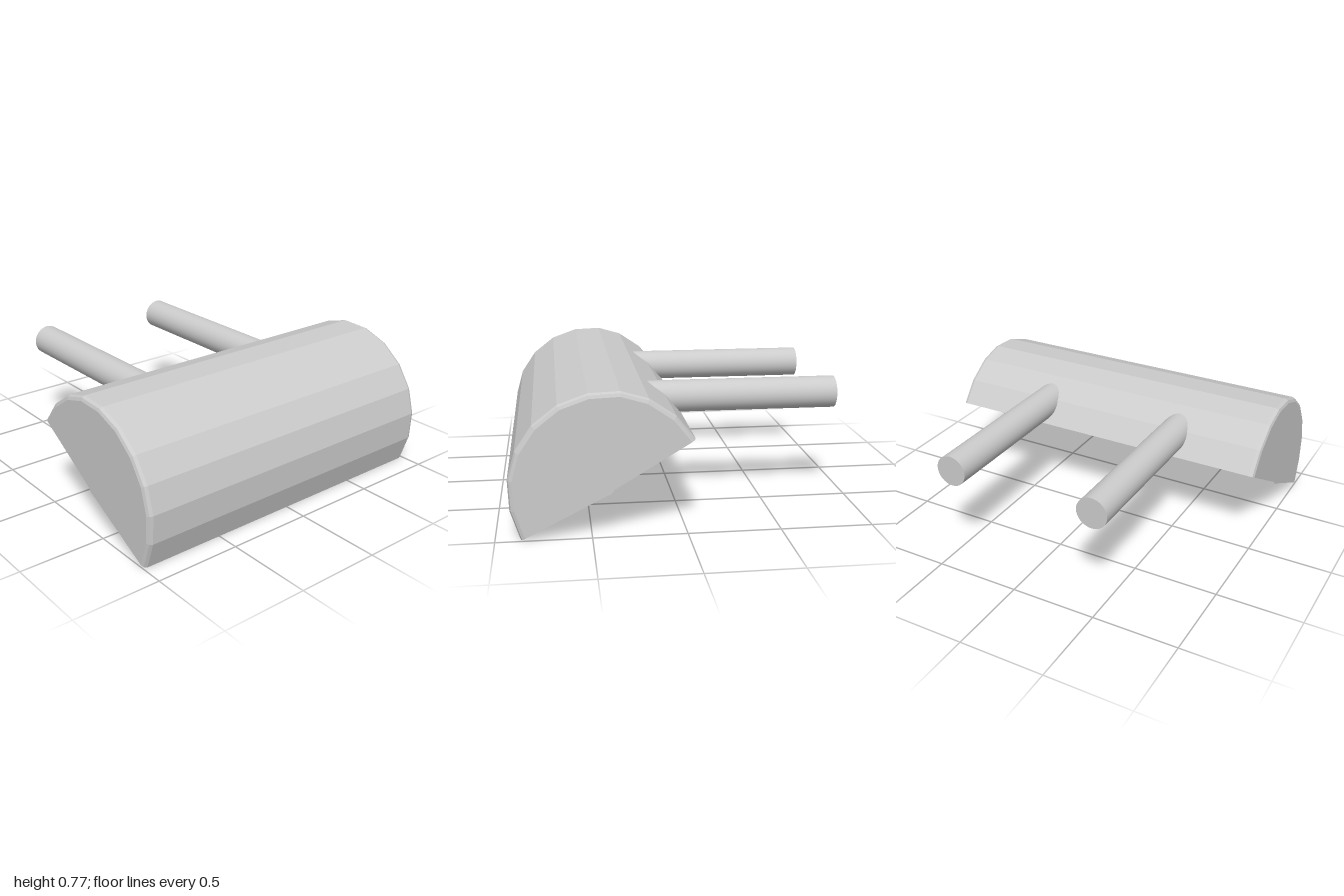
import * as THREE from 'three';

const material = new THREE.MeshStandardMaterial({ color: 0xcccccc, side: THREE.DoubleSide });

// Half-round cross-section, from the rod-side lip over the top to the lower lip
const ARC = [
  [-0.04, 0.51], [0.06, 0.635], [0.2, 0.73], [0.345, 0.772], [0.51, 0.765], [0.665, 0.71],
  [0.795, 0.608], [0.885, 0.475], [0.927, 0.325], [0.92, 0.16], [0.868, 0],
];
const HUB = [0.41, 0.25];
// Small notch in the middle of the end caps' straight edge
const NOTCH = [[0.44, 0.218], [0.4, 0.235], [0.38, 0.26]];

// The cross-section drawn in towards the hub by a small distance
function insetArc(d) {
  return ARC.map(([x, y]) => {
    const dx = x - HUB[0], dy = y - HUB[1];
    const k = 1 - d / Math.hypot(dx, dy);
    return [HUB[0] + dx * k, HUB[1] + dy * k];
  });
}

// Open-bottomed curved skin with rounded rims at both ends
function shellGeometry() {
  const rim = [[1, 0.025], [0.993, 0.008], [0.975, 0]];
  const rows = [...rim, ...rim.map(([z, d]) => [-z, d]).reverse()];
  const positions = [], index = [], n = ARC.length;
  for (const [z, d] of rows) {
    for (const [x, y] of insetArc(d)) positions.push(x, y, z);
  }
  for (let r = 0; r < rows.length - 1; r++) {
    for (let i = 0; i < n - 1; i++) {
      const a = r * n + i, b = a + n;
      index.push(a, a + 1, b, a + 1, b + 1, b);
    }
  }
  const indexed = new THREE.BufferGeometry();
  indexed.setAttribute('position', new THREE.Float32BufferAttribute(positions, 3));
  indexed.setIndex(index);
  const geometry = indexed.toNonIndexed();
  geometry.computeVertexNormals();
  return geometry;
}

export function createModel() {
  const model = new THREE.Group();
  const add = (name, geometry) => {
    const mesh = new THREE.Mesh(geometry, material);
    mesh.name = name;
    model.add(mesh);
    return mesh;
  };

  add('curvedShell', shellGeometry());

  // Flat end caps
  const outline = [...insetArc(0.025), ...NOTCH].map(([x, y]) => new THREE.Vector2(x, y));
  for (const side of [1, -1]) {
    const cap = new THREE.ShapeGeometry(new THREE.Shape(outline));
    if (side < 0) {
      // Reverse the winding so the rear cap faces backwards
      cap.index.array.reverse();
      cap.computeVertexNormals();
    }
    add(side > 0 ? 'frontCap' : 'rearCap', cap).position.z = side;
  }

  // Two rods that run through the shell wall and stop just inside it
  const start = -0.93, end = 0.21;
  for (const [name, z] of [['frontRod', 0.457], ['rearRod', -0.427]]) {
    const rod = add(name, new THREE.CylinderGeometry(0.091, 0.091, end - start, 32));
    rod.rotation.z = Math.PI / 2;
    rod.position.set((start + end) / 2, 0.605, z);
  }
  return model;
}
